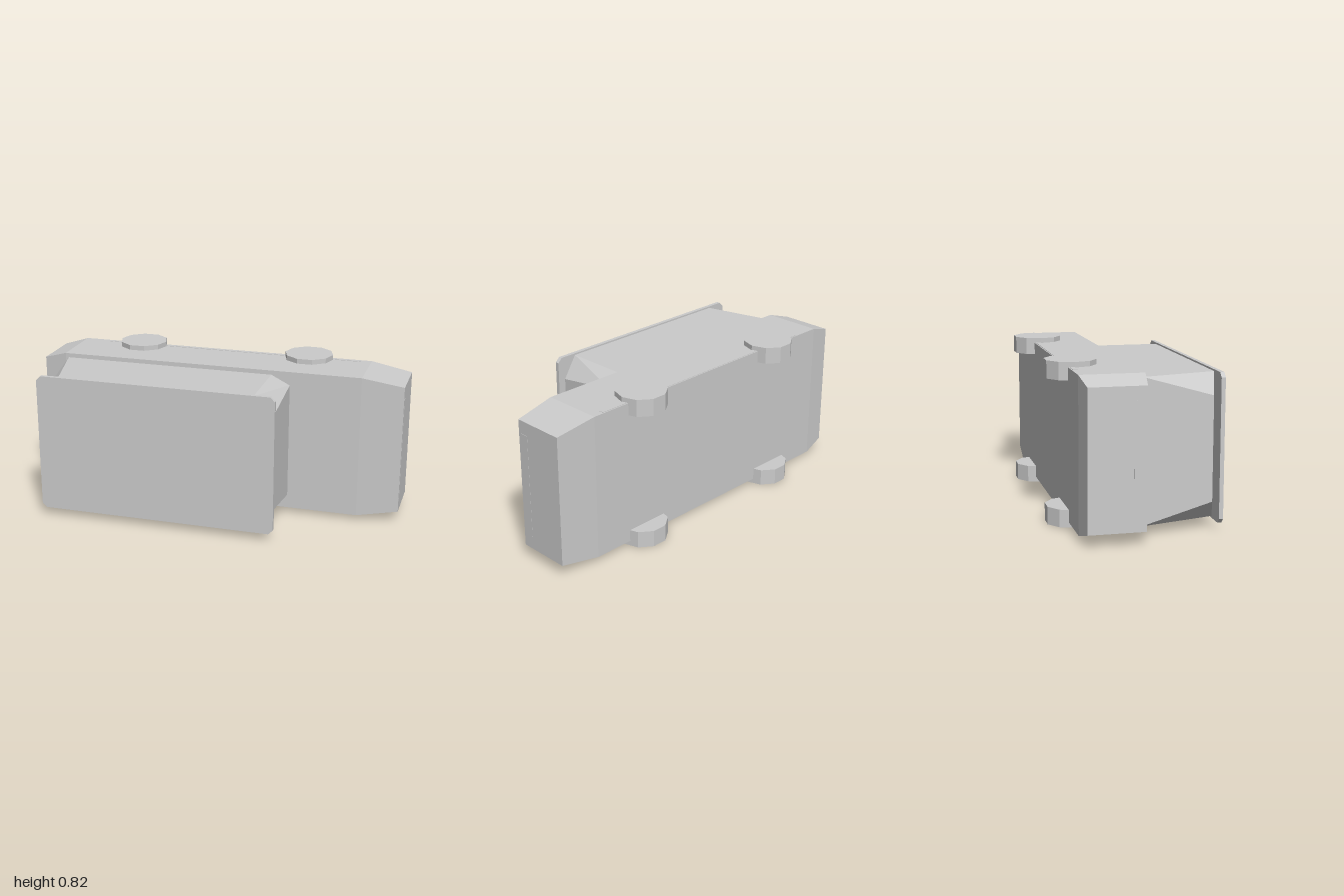
import * as THREE from 'three';
import { ConvexGeometry } from 'three/addons/geometries/ConvexGeometry.js';

const MID_Y = 0.4125; // the car lies on its side: its width runs along y, its roof faces +z

export function createModel() {
  const group = new THREE.Group();
  const material = new THREE.MeshStandardMaterial({ color: 0xcccccc, flatShading: true });

  const add = (name, geometry, x = 0, y = 0, z = 0) => {
    const mesh = new THREE.Mesh(geometry, material);
    mesh.name = name;
    mesh.position.set(x, y, z);
    group.add(mesh);
    return mesh;
  };

  // Faceted solid from [x, half width, z] corners mirrored across the width
  const mirroredSolid = (corners) => new ConvexGeometry(corners.flatMap(([x, w, z]) => [
    new THREE.Vector3(x, w, z), new THREE.Vector3(x, -w, z),
  ]));

  // Lower body with tapered ends
  add('body', mirroredSolid([
    [-1, 0.347, -0.298], [-1, 0.347, -0.014],
    [-0.87, 0.386, -0.313], [-0.87, 0.386, 0.008],
    [0.78, 0.386, -0.313], [0.78, 0.386, 0.008],
    [1, 0.347, -0.298], [1, 0.347, -0.014],
  ]), 0, MID_Y);

  // Cabin with folded corner pillars
  add('cabin', mirroredSolid([
    [0.3, 0.363, 0], [0.4, 0.313, 0], [0.4, 0.262, 0.352], [0.3, 0.363, 0.383],
    [-0.855, 0.363, 0], [-0.855, 0.262, 0.352], [-0.755, 0.363, 0.383],
  ]), 0, MID_Y);

  // Roof panel with clipped corners
  const hx = 0.643, hy = 0.372, c = 0.024;
  const outline = [
    [-hx + c, -hy], [hx - c, -hy], [hx, -hy + c], [hx, hy - c],
    [hx - c, hy], [-hx + c, hy], [-hx, hy - c], [-hx, -hy + c],
  ].map(([x, y]) => new THREE.Vector2(x, y));
  add('roof', new THREE.ExtrudeGeometry(new THREE.Shape(outline), {
    depth: 0.021, bevelEnabled: false,
  }), -0.227, MID_Y, 0.383);

  // Ten-sided wheels
  const wheel = new THREE.CylinderGeometry(0.132, 0.132, 0.09, 10, 1, false, Math.PI / 2);
  for (const x of [-0.511, 0.441]) {
    for (const y of [0.045, 0.78]) add('wheel', wheel, x, y, -0.279);
  }

  // Thin light strips on both ends, and sill strips along both sides
  for (const s of [-1, 1]) {
    add('lightStrip', new THREE.BoxGeometry(0.004, 0.556, 0.046), s * 0.999, MID_Y, -0.052);
    add('sill', new THREE.BoxGeometry(1.44, 0.004, 0.025), 0, MID_Y + s * 0.386, -0.294);
  }

  return group;
}
